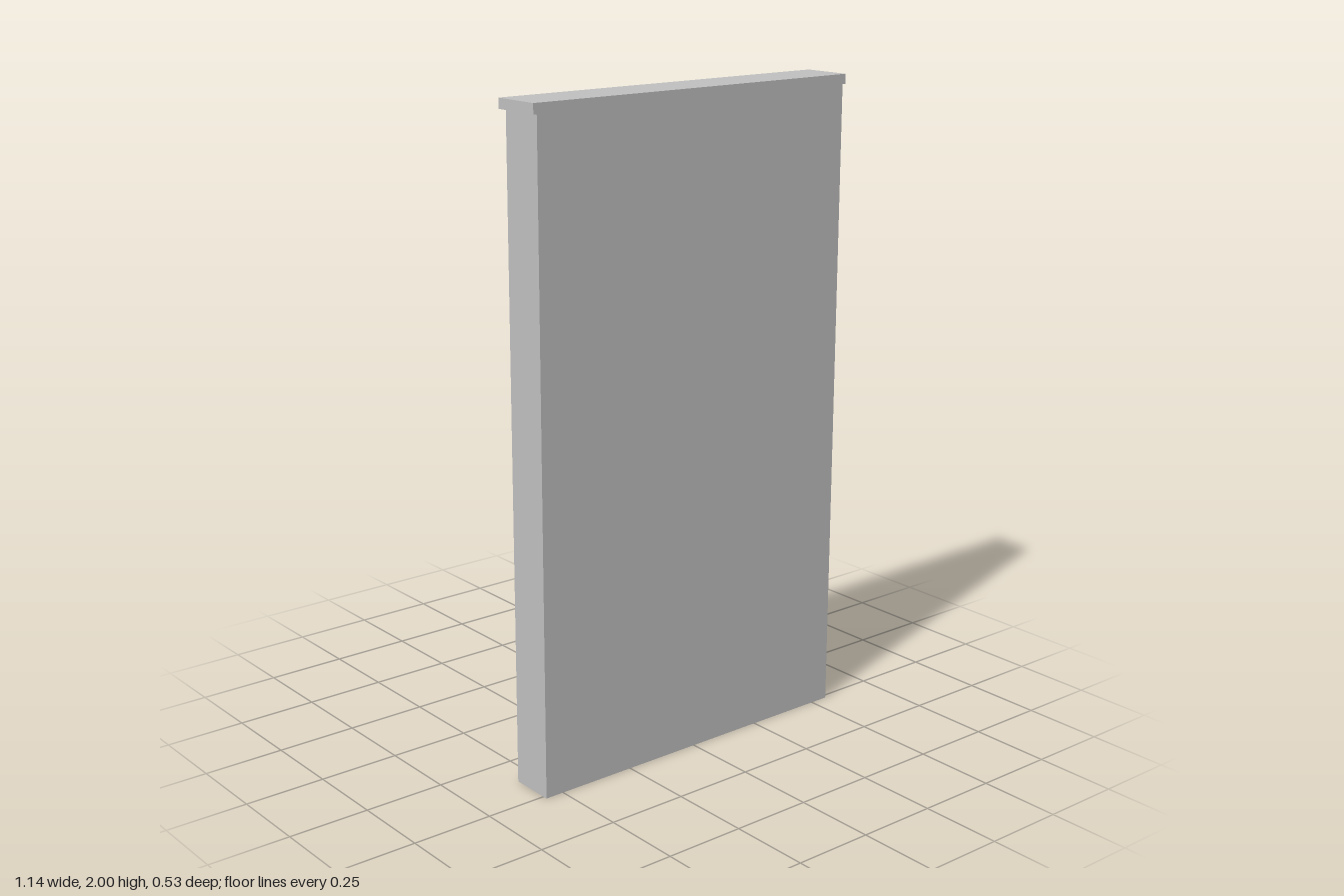
import * as THREE from 'three';

export function createModel() {
  const model = new THREE.Group();
  model.name = 'libraryBookcase';
  const paint = new THREE.MeshStandardMaterial({ color: 0xc0c0c0 });
  paint.name = 'plain grey';

  function add(parent, name, geometry) {
    const mesh = new THREE.Mesh(geometry, paint);
    mesh.name = name;
    parent.add(mesh);
    return mesh;
  }

  // Box given by its lower and upper limits on each axis
  function box(parent, name, x0, x1, y0, y1, z0, z1) {
    const mesh = add(parent, name, new THREE.BoxGeometry(x1 - x0, y1 - y0, z1 - z0));
    mesh.position.set((x0 + x1) / 2, (y0 + y1) / 2, (z0 + z1) / 2);
    return mesh;
  }

  function group(name) {
    const g = new THREE.Group();
    g.name = name;
    model.add(g);
    return g;
  }

  // Bookcase, with its open side towards -z
  const W = 0.56, T = 0.02, OPEN = 0.125, BACK = 0.265, H = 1.97;
  const bookcase = group('bookcase');
  box(bookcase, 'backPanel', -W + T, W - T, 0, H, BACK - 0.012, BACK);
  box(bookcase, 'rightSide', -W, -W + T, 0, H, OPEN, BACK);
  box(bookcase, 'leftSide', W - T, W, 0, H, OPEN, BACK);
  box(bookcase, 'divider', -T / 2, T / 2, 0.04, H, OPEN, BACK - 0.012);
  box(bookcase, 'bottomBoard', -W + T, W - T, 0, 0.04, OPEN, BACK - 0.012);
  box(bookcase, 'cornice', -0.571, 0.571, H, 2, 0.108, BACK);

  // Twelve shelves in each of the two bays
  for (let i = 1; i <= 12; i++) {
    const y = 0.04 + i * 0.1435;
    for (const x of [-W + T, T / 2]) {
      box(bookcase, 'shelf', x, x + W - 1.5 * T, y - T, y, OPEN, BACK - 0.012);
    }
  }

  // Ladder rail on three brackets
  const rail = group('ladderRail');
  const bar = add(rail, 'bar', new THREE.CylinderGeometry(0.006, 0.006, 1.046, 16));
  bar.rotation.z = Math.PI / 2;
  bar.position.set(0, 1.494, 0.089);
  for (const x of [-0.509, 0, 0.509]) {
    box(rail, 'bracket', x - 0.005, x + 0.005, 1.483, 1.507, 0.09, OPEN + 0.005);
  }

  // Leaning ladder: stiles cut level at top and bottom
  const ladder = group('ladder');
  const TOP = 1.507, Z_LOW = -0.257, Z_HIGH = 0.073, HALF = 0.008;
  const profile = new THREE.Shape([
    new THREE.Vector2(-Z_LOW - HALF, 0),
    new THREE.Vector2(-Z_LOW + HALF, 0),
    new THREE.Vector2(-Z_HIGH + HALF, TOP),
    new THREE.Vector2(-Z_HIGH - HALF, TOP),
  ]);
  for (const x of [0.221, 0.37]) {
    const geometry = new THREE.ExtrudeGeometry(profile, { depth: 0.016, bevelEnabled: false });
    geometry.rotateY(Math.PI / 2);
    add(ladder, 'stile', geometry).position.x = x;
  }

  // Rungs follow the slope of the stiles
  for (let i = 0; i < 13; i++) {
    const y = 0.112 + i * 0.107;
    const z = Z_LOW + (Z_HIGH - Z_LOW) * y / TOP;
    box(ladder, 'rung', 0.235, 0.372, y - 0.0065, y + 0.0065, z - 0.0065, z + 0.0065);
  }
  return model;
}
